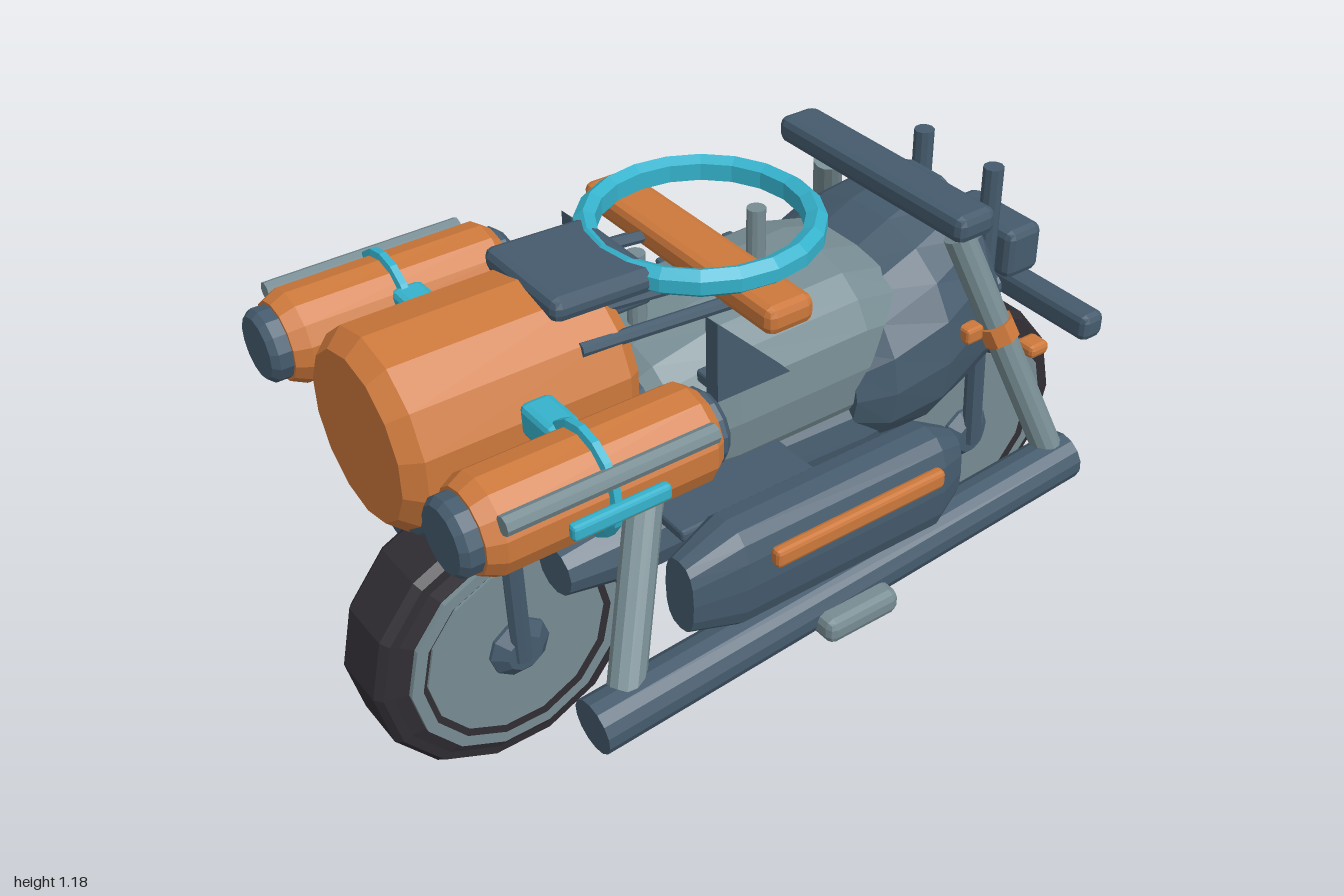
import * as THREE from 'three';
import { RoundedBoxGeometry } from 'three/addons/geometries/RoundedBoxGeometry.js';

const material = (name, color) => {
  const m = new THREE.MeshStandardMaterial({ color });
  m.name = name;
  return m;
};

export function createModel() {
  const orange = material('orange paint', 0xcc783b);
  const slate = material('slate metal', 0x455b6d);
  const grey = material('pale grey metal', 0x768c92);
  const cyan = material('cyan trim', 0x35b2cc);
  const rubber = material('tyre rubber', 0x302d33);
  const lens = material('lamp glass', 0x2590a4);
  const model = new THREE.Group();
  model.name = 'motorcycle';

  // Faceted mesh
  const add = (name, geo, mat, pos = [0, 0, 0], parent = model) => {
    const g = geo.index ? geo.toNonIndexed() : geo;
    g.computeVertexNormals();
    const mesh = new THREE.Mesh(g, mat);
    mesh.name = name;
    mesh.position.set(...pos);
    parent.add(mesh);
    return mesh;
  };
  // Box with chamfered edges
  const box = (name, mat, pos, size, bevel = 0.01, parent = model) =>
    add(name, new RoundedBoxGeometry(...size, 1, bevel), mat, pos, parent);
  // Straight rod between two points
  const rod = (name, mat, a, b, r, r2 = r, sides = 12) => {
    const A = new THREE.Vector3(...a), B = new THREE.Vector3(...b);
    const dir = B.clone().sub(A);
    const m = add(name, new THREE.CylinderGeometry(r2, r, dir.length(), sides), mat, A.clone().add(B).multiplyScalar(0.5).toArray());
    m.quaternion.setFromUnitVectors(new THREE.Vector3(0, 1, 0), dir.normalize());
    return m;
  };
  // Turned shape; points are [radius, position along the axis]
  const turned = (pts, sides, axis) => {
    const g = new THREE.LatheGeometry(pts.map(p => new THREE.Vector2(...p)), sides);
    return axis === 'x' ? g.rotateZ(-Math.PI / 2) : axis === 'z' ? g.rotateX(Math.PI / 2) : g;
  };
  // Hull through rounded sections [z, bottom, top, halfWidth], front to back
  const loft = (sections, power = 0.8, n = 18) => {
    const pos = [], idx = [];
    const se = v => Math.sign(v) * Math.abs(v) ** power;
    for (const [z, y0, y1, w] of sections)
      for (let i = 0; i < n; i++) {
        const a = (i / n) * Math.PI * 2;
        pos.push(w * se(Math.cos(a)), (y0 + y1) / 2 + ((y1 - y0) / 2) * se(Math.sin(a)), z);
      }
    for (let k = 0; k < sections.length - 1; k++)
      for (let i = 0; i < n; i++) {
        const a = k * n + i, b = k * n + (i + 1) % n, c = a + n, d = b + n;
        idx.push(a, c, b, b, c, d);
      }
    const last = (sections.length - 1) * n;
    for (let i = 1; i < n - 1; i++) {
      idx.push(0, i, i + 1);
      idx.push(last, last + i + 1, last + i);
    }
    const g = new THREE.BufferGeometry();
    g.setAttribute('position', new THREE.Float32BufferAttribute(pos, 3));
    g.setIndex(idx);
    return g;
  };

  // Wheels
  const disc = (r0, r1, x) => [[r0, -x], [r1, -x], [r1, x], [r0, x]];
  for (const [label, z] of [['front', 0.665], ['rear', -0.665]]) {
    const wheel = new THREE.Group();
    wheel.name = label + 'Wheel';
    wheel.position.set(0, 0.335, z);
    model.add(wheel);
    add('tyre', turned([[0, -0.1], [0.27, -0.1], [0.3, -0.09], [0.322, -0.088], [0.337, -0.068],
      [0.337, 0.068], [0.322, 0.088], [0.3, 0.09], [0.27, 0.1], [0, 0.1]], 14, 'x'), rubber, [0, 0, 0], wheel);
    add('rimRing', turned(disc(0.24, 0.268, 0.113), 14, 'x'), grey, [0, 0, 0], wheel);
    add('wheelDisc', turned(disc(0, 0.225, 0.106), 14, 'x'), grey, [0, 0, 0], wheel);
    add('hub', turned([[0, -0.14], [0.045, -0.14], [0.075, -0.115], [0.075, 0.115], [0.045, 0.14], [0, 0.14]], 10, 'x'), slate, [0, 0, 0], wheel);
  }

  // Main hulls
  add('centralTank', loft([[0.42, 0.68, 0.86, 0.15], [0.3, 0.6, 0.96, 0.22], [0.15, 0.58, 1.01, 0.245],
    [-0.2, 0.58, 1.02, 0.25], [-0.35, 0.6, 0.98, 0.24]]), grey);
  add('rearFairing', loft([[-0.17, 0.55, 0.88, 0.25], [-0.25, 0.5, 0.96, 0.295], [-0.4, 0.49, 1.03, 0.305],
    [-0.575, 0.51, 1.08, 0.25], [-0.62, 0.53, 1.0, 0.23], [-0.7, 0.55, 0.82, 0.18], [-0.79, 0.56, 0.63, 0.12]], 0.9), slate);
  add('belly', loft([[0.4, 0.5, 0.7, 0.18], [0.32, 0.47, 0.74, 0.23], [-0.2, 0.47, 0.74, 0.25], [-0.36, 0.5, 0.72, 0.24]], 0.75), slate);

  // Front drum in its cradle
  add('frontDrum', turned([[0, -0.27], [0.2, -0.27], [0.22, -0.24], [0.22, 0.23], [0.185, 0.27], [0, 0.27]], 14, 'z'), orange, [0, 0.957, 0.65]);
  add('drumCradle', loft([[0.885, 0.76, 0.94, 0.19], [0.83, 0.715, 0.97, 0.24], [0.45, 0.715, 0.97, 0.245], [0.35, 0.77, 0.96, 0.21]], 0.9), slate);

  // Top equipment
  const ringBand = [[0.225, -0.02], [0.25, -0.032], [0.272, -0.015], [0.272, 0.015], [0.25, 0.032], [0.225, 0.02], [0.225, -0.02]];
  add('topRing', turned(ringBand, 20), cyan, [0, 1.155, 0.08]);
  box('topCrossbar', orange, [0, 1.098, 0.1], [0.69, 0.065, 0.12], 0.02);
  for (const z of [-0.07, 0.25]) rod('ringPost', grey, [0, 0.97, z], [0, 1.14, z], 0.022);
  box('topPad', slate, [0, 1.158, 0.41], [0.28, 0.055, 0.25], 0.02).rotation.x = -0.04;
  box('padMount', slate, [0, 1.09, 0.33], [0.12, 0.09, 0.16]);

  // Rear bars and lamp
  box('upperRearBar', slate, [0, 1.11, -0.435], [0.64, 0.065, 0.11], 0.02);
  box('lowerRearBar', slate, [0, 0.677, -0.873], [0.63, 0.07, 0.07], 0.018);
  box('lampHousing', slate, [0, 0.82, -0.81], [0.24, 0.13, 0.11], 0.02);
  rod('lampBracket', slate, [0, 0.8, -0.65], [0, 0.8, -0.78], 0.05);
  rod('barBracket', slate, [0, 0.64, -0.74], [0, 0.67, -0.87], 0.03);

  // Flank hardware on the model's right
  box('flankPlate', slate, [-0.31, 0.765, -0.1], [0.16, 0.025, 0.4], 0.005);
  for (const [x, y] of [[-0.25, 0.8], [-0.33, 0.8], [-0.375, 0.79]])
    rod('flankPipe', slate, [x, y, -0.28], [x, y, 0.1], 0.018, 0.018, 8);
  for (const z of [-0.28, -0.08, 0.1]) box('pipeClamp', slate, [-0.31, 0.795, z], [0.17, 0.06, 0.03], 0.006);
  rod('flankRod', slate, [-0.25, 0.74, 0.05], [-0.25, 0.76, 0.55], 0.015, 0.015, 8);
  box('flankRodEnd', slate, [-0.25, 0.76, 0.45], [0.09, 0.04, 0.04]);

  // Mirrored parts
  for (const s of [1, -1]) {
    const p = (x, y, z) => [s * x, y, z];

    // Forks, struts and rails
    rod('frontFork', slate, p(0.13, 0.32, 0.67), p(0.135, 0.73, 0.68), 0.024, 0.024, 8);
    rod('rearFork', slate, p(0.135, 0.32, -0.67), p(0.14, 0.66, -0.65), 0.024, 0.024, 8);
    rod('lowerRail', slate, p(0.43, 0.355, 0.68), p(0.43, 0.45, -0.68), 0.065, 0.062, 14);
    rod('frontStrut', grey, p(0.43, 0.37, 0.6), p(0.2, 0.82, 0.36), 0.042);
    rod('rearStrut', grey, p(0.23, 1.04, -0.465), p(0.43, 0.46, -0.64), 0.036);
    const clip = rod('strutClip', orange, p(0.302, 0.83, -0.528), p(0.322, 0.775, -0.545), 0.045, 0.045, 8);
    clip.scale.y = 0.8;
    box('clipTab', orange, p(0.29, 0.81, -0.47), [0.04, 0.04, 0.05], 0.008);
    box('footPeg', grey, p(0.42, 0.38, 0.03), [0.24, 0.062, 0.2], 0.02);

    // Side pod and its mounts
    const podShape = loft([[0.46, 0.52, 0.7, 0.05], [0.34, 0.485, 0.75, 0.08], [-0.2, 0.485, 0.75, 0.08], [-0.275, 0.53, 0.71, 0.05]], 0.75, 16);
    add('sidePod', podShape, slate, p(0.44, 0, 0));
    box('podStripe', orange, p(0.53, 0.68, 0.055), [0.03, 0.045, 0.46], 0.01);
    box('podMount', slate, p(0.29, 0.683, 0.22), [0.16, 0.03, 0.36], 0.008);
    rod('lowerSideTube', slate, p(0.18, 0.57, 0.6), p(0.17, 0.57, 0.42), 0.06, 0.095);
    rod('lowerSideTubeRear', slate, p(0.17, 0.57, 0.42), p(0.17, 0.57, 0.1), 0.095);

    // Side canister
    const canister = new THREE.Group();
    canister.name = 'sideCanister';
    canister.position.set(s * 0.392, 0.97, 0.64);
    model.add(canister);
    add('canisterBody', turned([[0, -0.265], [0.09, -0.265], [0.107, -0.24], [0.107, 0.23], [0.09, 0.265], [0, 0.265]], 14, 'z'), orange, [0, 0, 0], canister);
    add('canisterCaps', turned([[0, -0.295], [0.07, -0.295], [0.083, -0.28], [0.083, 0.295], [0.07, 0.31], [0, 0.31]], 14, 'z'), slate, [0, 0, 0], canister);
    add('canisterBand', turned([[0.1, -0.012], [0.122, -0.008], [0.122, 0.008], [0.1, 0.012]], 16, 'z'), cyan, [0, 0, 0], canister);
    box('canisterBracket', cyan, [-s * 0.13, 0.04, -0.01], [0.12, 0.075, 0.075], 0.015, canister);
    box('canisterGrip', cyan, [s * 0.125, 0, 0], [0.025, 0.036, 0.22], 0.008, canister);
    add('canisterRod', turned([[0, -0.235], [0.021, -0.235], [0.021, 0.235], [0, 0.235]], 8, 'z'), grey, [s * 0.1, 0.062, 0], canister);

    // Upright fins beside the tank
    const tri = new THREE.Shape([new THREE.Vector2(-0.25, 1.11), new THREE.Vector2(-0.25, 0.92), new THREE.Vector2(-0.06, 0.92)]);
    const fin = new THREE.ExtrudeGeometry(tri, { depth: 0.04, bevelEnabled: false });
    add('sideFin', fin.translate(0, 0, -0.02).rotateY(Math.PI / 2), slate, p(0.27, 0, 0));
    box('finBase', slate, p(0.24, 0.935, 0.17), [0.08, 0.03, 0.14], 0.006);
    rod('padRail', slate, p(0.17, 1.05, 0.02), p(0.17, 1.085, 0.5), 0.016, 0.016, 8);
    rod('padRailInner', slate, p(0.11, 1.09, 0.1), p(0.11, 1.13, 0.5), 0.014, 0.014, 8);

    // Rear posts, lamp lenses and markers
    rod('rearPost', slate, p(0.12, 0.72, -0.672), p(0.12, 1.1, -0.672), 0.025, 0.025, 10);
    box('lampRim', cyan, p(0.055, 0.82, -0.865), [0.085, 0.07, 0.008], 0.002);
    box('lampLens', lens, p(0.055, 0.82, -0.869), [0.068, 0.054, 0.006], 0.002);
    box('rearMarker', orange, p(0.245, 0.643, -0.735), [0.06, 0.035, 0.06], 0.012);
    rod('markerStem', slate, p(0.15, 0.63, -0.7), p(0.235, 0.643, -0.735), 0.012, 0.012, 6);
  }
  return model;
}
